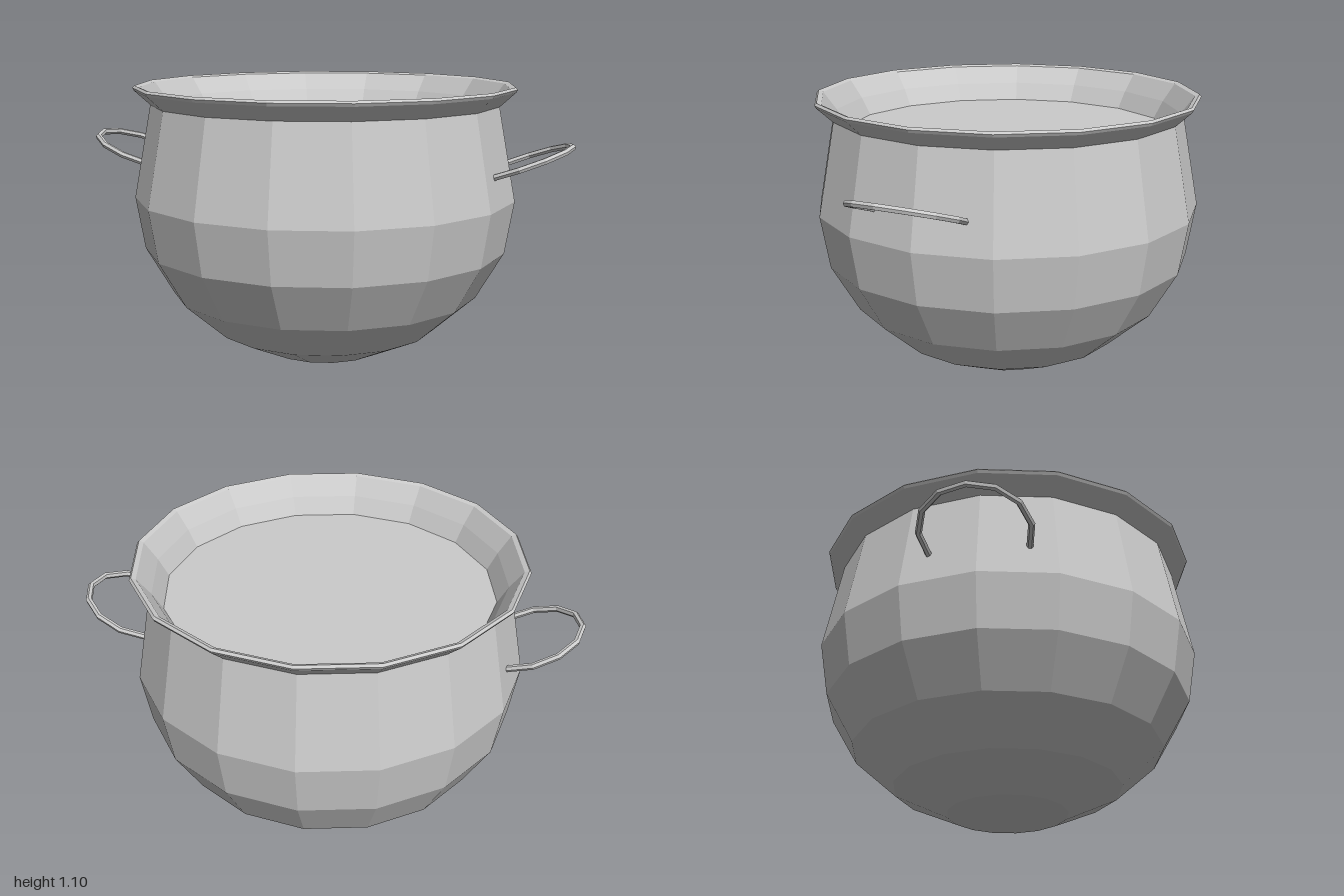
import * as THREE from 'three';

const SIDES = 16;

export function createModel() {
  const model = new THREE.Group();
  const metal = new THREE.MeshStandardMaterial({ color: 0xcccccc, flatShading: true });

  const add = (parent, name, geometry) => {
    const mesh = new THREE.Mesh(geometry, metal);
    mesh.name = name;
    parent.add(mesh);
    return mesh;
  };
  const lathe = (points) =>
    new THREE.LatheGeometry(points.map(([r, y]) => new THREE.Vector2(r, y)), SIDES);

  // Faceted belly with a flat base
  add(model, 'body', lathe([
    [0, 0], [0.24, 0], [0.455, 0.1], [0.625, 0.25],
    [0.735, 0.44], [0.77, 0.65], [0.7, 1.02],
  ]));

  // Flared rim, turning over into the inner wall
  add(model, 'rim', lathe([
    [0.7, 1.02], [0.762, 1.077], [0.768, 1.088], [0.76, 1.097],
    [0.742, 1.09], [0.69, 1.02], [0.65, 0.95],
  ]));

  // Flat surface filling the pot
  const contents = add(model, 'contents', new THREE.CircleGeometry(0.65, SIDES));
  contents.rotation.x = -Math.PI / 2;
  contents.position.y = 0.95;

  // Ring handles, tilted upwards, mirrored by a half turn
  const radius = 0.206, tube = 0.013, arc = THREE.MathUtils.degToRad(230);
  for (const [name, turn] of [['leftHandle', 0], ['rightHandle', Math.PI]]) {
    const side = new THREE.Group();
    side.name = name;
    side.rotation.y = turn;
    const tilted = new THREE.Group();
    tilted.position.set(0.79, 0.802, 0);
    tilted.rotation.z = THREE.MathUtils.degToRad(20);
    side.add(tilted);

    const ring = new THREE.TorusGeometry(radius, tube, 6, 8, arc);
    ring.rotateZ(-arc / 2).rotateX(-Math.PI / 2);
    add(tilted, 'handleRing', ring);

    // End caps where the ring meets the body
    for (const s of [-1, 1]) {
      const cap = new THREE.CircleGeometry(tube, 6);
      cap.rotateX(s > 0 ? -Math.PI / 2 : Math.PI / 2);
      cap.translate(radius, 0, 0);
      cap.rotateZ(s * arc / 2).rotateX(-Math.PI / 2);
      add(tilted, 'handleEnd', cap);
    }
    model.add(side);
  }

  return model;
}
